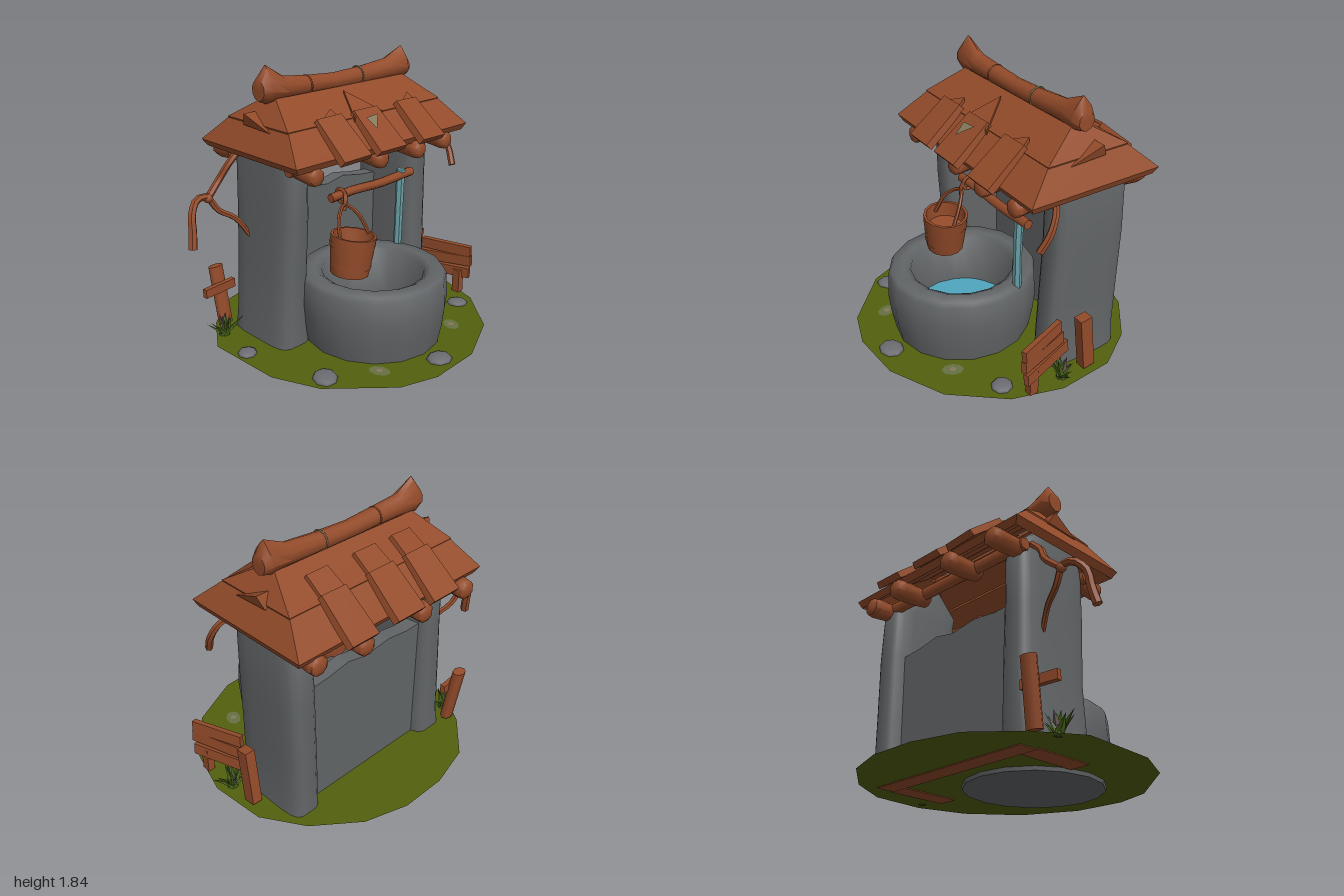
import * as THREE from 'three';
import { toCreasedNormals } from 'three/addons/utils/BufferGeometryUtils.js';

const mat = (name, color, side = THREE.FrontSide) => {
  const m = new THREE.MeshStandardMaterial({ color, side });
  m.name = name;
  return m;
};
const V = (p) => new THREE.Vector3(...p);

// Skin over a list of rings; capped at both ends, or joined end to start.
function loft(rings, { wrap = false, crease = 0.6 } = {}) {
  const n = rings[0].length, pos = rings.flat(2), idx = [];
  const last = wrap ? rings.length : rings.length - 1;
  for (let r = 0; r < last; r++) for (let i = 0; i < n; i++) {
    const a = r * n + i, b = r * n + (i + 1) % n, s = (r + 1) % rings.length;
    const c = s * n + (i + 1) % n, d = s * n + i;
    idx.push(a, b, c, a, c, d);
  }
  if (!wrap) [0, rings.length - 1].forEach((r, end) => {
    const mid = [0, 1, 2].map((k) => rings[r].reduce((t, p) => t + p[k], 0) / n);
    const c = pos.length / 3;
    pos.push(...mid);
    for (let i = 0; i < n; i++) {
      const a = r * n + i, b = r * n + (i + 1) % n;
      idx.push(...(end ? [c, a, b] : [c, b, a]));
    }
  });
  // Turn the faces outward if the enclosed volume is negative.
  const at = (i) => V(pos.slice(i * 3, i * 3 + 3));
  let vol = 0;
  for (let i = 0; i < idx.length; i += 3) vol += at(idx[i]).dot(at(idx[i + 1]).cross(at(idx[i + 2])));
  if (vol < 0) idx.reverse();
  const g = new THREE.BufferGeometry();
  g.setAttribute('position', new THREE.Float32BufferAttribute(pos, 3));
  g.setIndex(idx);
  return toCreasedNormals(g, crease);
}

// Tapered round limb along a curve.
function limb(points, r0, r1 = r0, sides = 7, steps = 8) {
  const curve = new THREE.CatmullRomCurve3(points.map(V));
  const f = curve.computeFrenetFrames(steps);
  const rings = [];
  for (let s = 0; s <= steps; s++) {
    const c = curve.getPointAt(s / steps), r = r0 + (r1 - r0) * s / steps;
    rings.push(Array.from({ length: sides }, (_, i) => {
      const a = i / sides * Math.PI * 2;
      return c.clone().addScaledVector(f.normals[s], r * Math.cos(a))
        .addScaledVector(f.binormals[s], r * Math.sin(a)).toArray();
    }));
  }
  return loft(rings, { crease: 0.95 });
}

export function createModel() {
  const root = new THREE.Group();
  const wood = mat('wood', 0x934b2a), stone = mat('stone', 0x626567);
  const moss = mat('ground green', 0x53600e, THREE.DoubleSide), leaf = mat('leaf green', 0x4a661a), dry = mat('dry grass', 0x665458);
  const water = mat('water blue', 0x4fa6c0), paint = mat('teal paint', 0x6a9fa6);
  const pebble = mat('pebble grey', 0x6c6d72), dirt = mat('dirt', 0x677044), patch = mat('roof patch', 0x85785a, THREE.DoubleSide);
  const add = (name, geo, m, x = 0, y = 0, z = 0, rx = 0, ry = 0, rz = 0) => {
    const o = new THREE.Mesh(geo, m);
    o.name = name;
    o.position.set(x, y, z);
    o.rotation.set(rx, ry, rz);
    root.add(o);
    return o;
  };
  const box = (w, h, d) => new THREE.BoxGeometry(w, h, d);
  const flat = (pts) => new THREE.Shape(pts.map(([x, y]) => new THREE.Vector2(x, y)));

  // Ground
  const edge = [[-0.11, -0.91], [0.21, -0.91], [0.5, -0.82], [0.78, -0.6], [0.95, -0.33], [0.98, 0.05], [0.88, 0.38],
    [0.62, 0.7], [0.25, 0.88], [-0.11, 0.9], [-0.36, 0.82], [-0.71, 0.5], [-0.84, 0.2], [-0.86, -0.33], [-0.68, -0.6], [-0.42, -0.83]];
  add('ground', new THREE.ShapeGeometry(flat(edge.map(([x, z]) => [x, -z]))), moss, 0, 0.03, 0, -Math.PI / 2);
  // Footing boards beneath the walls
  add('footingBack', box(1.25, 0.006, 0.13), wood, 0.12, 0.026, -0.42);
  for (const x of [-0.46, 0.69]) add('footingSide', box(0.14, 0.006, 0.42), wood, x, 0.025, -0.15);

  // Well basin and water
  const profile = [[0, 0.005], [0.46, 0.005], [0.49, 0.16], [0.505, 0.3], [0.495, 0.46], [0.475, 0.492], [0.39, 0.5], [0.345, 0.475], [0.335, 0.1]];
  const well = new THREE.LatheGeometry(profile.map(([r, y]) => new THREE.Vector2(r, y)), 16);
  add('well', toCreasedNormals(well, 1.25), stone, 0.033, 0, 0.2).scale.x = 0.965;
  add('water', new THREE.CircleGeometry(0.335, 14), water, 0.035, 0.13, 0.2, -Math.PI / 2);

  // Side pillars: rounded blocks that flare at the foot and peak under the roof
  const pillarRing = (cx, y, hx, hz, cz) => Array.from({ length: 16 }, (_, i) => {
    const a = (i + 0.5) / 16 * Math.PI * 2, c = Math.cos(a), s = Math.sin(a);
    return [cx + Math.sign(c) * Math.abs(c) ** 0.45 * hx, y, cz + Math.sign(s) * Math.abs(s) ** 0.45 * hz];
  });
  const leftRings = [[0.69, 0.032, 0.115, 0.275, -0.25], [0.685, 0.2, 0.105, 0.275, -0.25], [0.69, 0.5, 0.105, 0.27, -0.255],
    [0.7, 0.9, 0.105, 0.265, -0.26], [0.7, 1.25, 0.102, 0.26, -0.255], [0.695, 1.34, 0.09, 0.24, -0.22], [0.69, 1.5, 0.07, 0.06, -0.2]];
  const rightRings = [[-0.48, 0.032, 0.13, 0.275, -0.24], [-0.47, 0.2, 0.12, 0.27, -0.24], [-0.462, 0.5, 0.108, 0.27, -0.24],
    [-0.458, 0.9, 0.102, 0.28, -0.22], [-0.455, 1.25, 0.1, 0.28, -0.215], [-0.46, 1.34, 0.09, 0.24, -0.2], [-0.465, 1.5, 0.07, 0.06, -0.2]];
  for (const [name, rings] of [['leftPillar', leftRings], ['rightPillar', rightRings]])
    add(name, loft(rings.map((r) => pillarRing(...r)), { crease: 1 }), stone);

  // Back wall with a worn top edge
  const wall = flat([[-0.42, 0.032], [0.64, 0.032], [0.64, 0.89], [0.44, 0.91], [0.28, 0.94], [0.13, 0.91], [-0.08, 0.94], [-0.25, 0.92], [-0.42, 0.93]]);
  add('backWall', new THREE.ExtrudeGeometry(wall, { depth: 0.1, bevelEnabled: false }), stone, 0, 0, -0.44);

  // Roof: two hollow hipped tiers
  const rect = (x0, x1, hz, y) => [[x0, y, -0.2 - hz], [x1, y, -0.2 - hz], [x1, y, -0.2 + hz], [x0, y, -0.2 + hz]];
  add('lowerRoof', loft([rect(-0.55, 0.76, 0.26, 1.51), rect(-0.66, 0.875, 0.465, 1.325), rect(-0.63, 0.855, 0.44, 1.28), rect(-0.54, 0.75, 0.23, 1.45)],
    { wrap: true, crease: 0.2 }), wood);
  add('upperRoof', loft([rect(-0.46, 0.67, 0.05, 1.635), rect(-0.57, 0.78, 0.29, 1.49), rect(-0.56, 0.77, 0.28, 1.45), rect(-0.44, 0.66, 0.03, 1.6)],
    { wrap: true, crease: 0.2 }), wood);
  // Overhanging gable flaps at both ends
  for (const [x, s] of [[0.797, 1], [-0.587, -1]]) {
    const tri = (low, high) => [[x + s * low, 1.46, -0.06], [x + s * low, 1.47, -0.31], [x + s * high, 1.55, -0.27]];
    add('gableFlap', loft([tri(-0.06, -0.08), tri(0, 0.025)], { crease: 0.2 }), wood);
  }

  // Overlapping shingles, narrower toward the ridge
  const shingle = (w, l) => {
    const g = box(w, 0.045, l).toNonIndexed(), p = g.attributes.position;
    for (let i = 0; i < p.count; i++) {
      const t = p.getZ(i) / l + 0.5;
      p.setX(i, p.getX(i) * (p.getY(i) > 0 ? 0.82 + 0.1 * t : 0.9 + 0.1 * t));
    }
    g.computeVertexNormals();
    return g;
  };
  [[-0.24, 0.24, 0.04], [0.07, 0.25, 0], [0.45, 0.23, -0.02]].forEach(([x, w, twist]) => {
    for (const s of [1, -1]) {
      const row = new THREE.Group();
      row.name = s > 0 ? 'frontShingles' : 'backShingles';
      row.position.set(x, 0, -0.2);
      row.rotation.y = s > 0 ? 0 : Math.PI;
      const low = new THREE.Mesh(shingle(w, 0.33), wood);
      low.name = 'lowerShingle';
      low.position.set(0, 1.41, 0.4);
      low.rotation.set(0.69, 0, twist);
      row.add(low);
      if (s < 0) {
        const high = new THREE.Mesh(shingle(w * 0.85, 0.2), wood);
        high.name = 'upperShingle';
        high.position.set(0, 1.53, 0.225);
        high.rotation.set(0.57, 0, -twist);
        row.add(high);
      }
      root.add(row);
    }
  });
  // Split shingle peak above the middle of the front, with a small patch
  const peak = (h) => [[-0.05, 1.48 + h, 0.11], [0.2, 1.48 + h, 0.11], [0.05, 1.6 + h, -0.09]];
  add('shinglePeak', loft([peak(-0.02), peak(0.02)], { crease: 0.2 }), wood);
  for (const x of [-0.28, 0.42]) add('shinglePeak', loft([[[x - 0.06, 1.48, 0.1], [x + 0.12, 1.48, 0.1], [x + 0.1, 1.53, 0.03]],
    [[x - 0.06, 1.5, 0.11], [x + 0.12, 1.5, 0.11], [x + 0.1, 1.56, 0.03]]], { crease: 0.2 }), wood);
  const tear = new THREE.ShapeGeometry(flat([[-0.04, 0.035], [0.07, 0.045], [-0.02, -0.06]]));
  add('roofPatch', tear, patch, 0.05, 1.471, 0.183, -0.876);

  // Ridge log with flared, upturned and pinched ends
  const ridge = [[-0.55, 1.69, 0.065, 0.06, 0], [-0.495, 1.72, 0.12, 0.085, 0.75], [-0.36, 1.685, 0.07, 0.065, 0.2], [-0.17, 1.675, 0.06, 0.06, 0],
    [0.05, 1.665, 0.055, 0.055, 0], [0.3, 1.67, 0.06, 0.06, 0], [0.55, 1.685, 0.07, 0.065, 0.2], [0.7, 1.715, 0.108, 0.085, 0.75], [0.74, 1.68, 0.06, 0.055, 0]];
  add('ridgeLog', loft(ridge.map(([x, y, ry, rz, pinch]) => Array.from({ length: 10 }, (_, i) => {
    const a = i / 10 * Math.PI * 2, c = Math.cos(a);
    return [x, y + ry * c, -0.2 + rz * Math.sin(a) * (1 - pinch * Math.max(0, c))];
  })), { crease: 0.8 }), wood);
  for (const [x, m] of [[-0.17, wood], [0.28, patch]]) add('ridgeBand', new THREE.TorusGeometry(0.061, 0.006, 5, 12), m, x, 1.672, -0.2, 0, Math.PI / 2);

  // Eave beams and log ends
  for (const z of [0.07, -0.49]) add('eaveBeam', limb([[-0.56, 1.25, z], [0.1, 1.255, z], [0.78, 1.26, z]], 0.04), wood);
  const stub = (name, x, z0, z1, r) => add(name, loft([[0, 0.8], [0.3, 0.92], [0.8, 1], [0.94, 0.9], [1, 0.55]].map(([t, k]) =>
    Array.from({ length: 8 }, (_, i) => {
      const a = (i + 0.5) / 8 * Math.PI * 2;
      return [x + r * k * Math.cos(a), 1.25 - 0.015 * t + r * k * Math.sin(a), z0 + (z1 - z0) * t];
    })), { crease: 0.8 }), wood);
  for (const [x, z] of [[-0.485, 0.26], [0.05, 0.28], [0.38, 0.3], [0.68, 0.27]]) stub('frontLog', x, 0.02, z, 0.062);
  for (const [x, z] of [[-0.49, -0.72], [-0.1, -0.72], [0.4, -0.72], [0.72, -0.67]]) stub('backLog', x, -0.44, z, 0.068);

  // Winch pole and painted post
  add('winchPole', limb([[-0.2, 0.985, 0.05], [0.0, 0.995, 0.05], [0.25, 0.985, 0.05], [0.56, 1.0, 0.05]], 0.03, 0.032), wood);
  add('post', limb([[0.445, 0.45, 0.04], [0.45, 0.75, 0.045], [0.46, 1.035, 0.045]], 0.028, 0.03, 6), paint);

  // Bucket with hoops, handle and rope
  const pail = new THREE.LatheGeometry([[0, -0.13], [0.125, -0.13], [0.14, 0], [0.15, 0.13], [0.132, 0.13], [0.118, 0.03], [0, 0.03]]
    .map(([r, y]) => new THREE.Vector2(r, y)), 14);
  add('bucket', toCreasedNormals(pail, 0.7), wood, -0.165, 0.645, 0.205, 0.03, 0, -0.12);
  for (const [y, r] of [[-0.06, 0.13], [0.07, 0.143]]) {
    const hoop = new THREE.CylinderGeometry(r + 0.007, r + 0.004, 0.035, 14, 1, true);
    add('bucketHoop', hoop, wood, -0.165 + y * 0.12, 0.645 + y, 0.205, 0.03, 0, -0.12);
  }
  add('bucketHandle', limb([[-0.27, 0.74, 0.22], [-0.235, 0.87, 0.16], [-0.13, 0.94, 0.1], [-0.06, 0.88, 0.15], [-0.025, 0.75, 0.22]], 0.013, 0.013, 6, 14), wood);
  add('rope', new THREE.TorusGeometry(0.045, 0.012, 5, 12), wood, -0.11, 0.985, 0.05, 0, Math.PI / 2);
  add('ropeEnd', limb([[-0.11, 1.0, 0.09], [-0.12, 0.96, 0.1], [-0.13, 0.9, 0.1]], 0.014), wood);

  // Crooked branches
  const branch = (pts, r0, r1) => add('branch', limb(pts, r0, r1, 6, 10), wood);
  branch([[-0.55, 1.28, -0.42], [-0.63, 1.2, -0.43], [-0.69, 1.1, -0.46], [-0.79, 1.01, -0.44]], 0.022, 0.024);
  branch([[-0.77, 1.02, -0.44], [-0.87, 1.02, -0.44], [-0.94, 0.95, -0.4], [-0.955, 0.84, -0.38], [-0.975, 0.74, -0.36]], 0.022, 0.03);
  branch([[-0.79, 1.02, -0.44], [-0.73, 0.92, -0.42], [-0.63, 0.85, -0.38], [-0.55, 0.72, -0.34]], 0.022, 0.016);
  branch([[0.73, 1.27, 0.02], [0.83, 1.24, 0.06], [0.87, 1.13, 0.12], [0.85, 1.01, 0.18]], 0.02, 0.024);
  add('branchKnot', new THREE.IcosahedronGeometry(0.032, 1), wood, -0.79, 1.01, -0.44);

  // Slatted fence on the left side
  [[0.37, 0.37, 0.15, 0.03], [0.285, 0.4, 0.14, -0.03], [0.19, 0.43, 0.11, 0]].forEach(([y, len, z, tilt]) =>
    add('fenceSlat', box(0.035, 0.078, len), wood, 0.87, y, z, tilt, 0.32, 0.08));
  add('fencePost', box(0.05, 0.17, 0.06), wood, 0.9, 0.12, 0.24);
  add('leaningPost', box(0.07, 0.39, 0.085), wood, 0.88, 0.235, -0.177, 0.12);

  // Signpost on the right side
  add('signPost', new THREE.CylinderGeometry(0.055, 0.055, 0.41, 8).scale(1, 1, 0.7), wood, -0.66, 0.26, -0.555, -0.15, 0, 0.04);
  add('signBoard', box(0.25, 0.06, 0.035), wood, -0.69, 0.33, -0.52, 0, 0.1, 0);

  // Grass tufts
  for (const [x, z] of [[-0.73, -0.43], [0.89, 0.0]]) for (let i = 0; i < 14; i++) {
    const len = 0.12 + (i % 3) * 0.025, g = new THREE.ConeGeometry(0.036, len, 4);
    g.translate(0, len / 2, 0).scale(1, 1, 0.3);
    const b = add('grassBlade', g, i % 5 === 4 ? dry : leaf, x, 0.032, z);
    b.rotation.order = 'YXZ';
    b.rotation.set(0.3 + (i % 4) * 0.2, i * 2.4, 0);
  }

  // Low domed stones and dirt patches
  const dome = new THREE.SphereGeometry(1, 8, 3, 0, Math.PI * 2, 0, Math.PI / 2);
  for (const [x, z, rx, rz] of [[-0.77, -0.13, 0.063, 0.07], [-0.61, 0.43, 0.08, 0.1], [0.06, 0.77, 0.09, 0.08], [0.75, 0.36, 0.07, 0.075]])
    add('stone', dome, pebble, x, 0.031, z, 0, x, 0).scale.set(rx, 0.027, rz);
  for (const [x, z] of [[-0.32, 0.61], [0.46, 0.54]]) {
    add('dirtPatch', new THREE.CircleGeometry(0.06, 8).scale(0.85, 1.2, 1), dirt, x, 0.034, z, -Math.PI / 2, 0, -x);
    add('dirtCentre', new THREE.CircleGeometry(0.022, 6), patch, x, 0.037, z, -Math.PI / 2);
  }
  return root;
}
